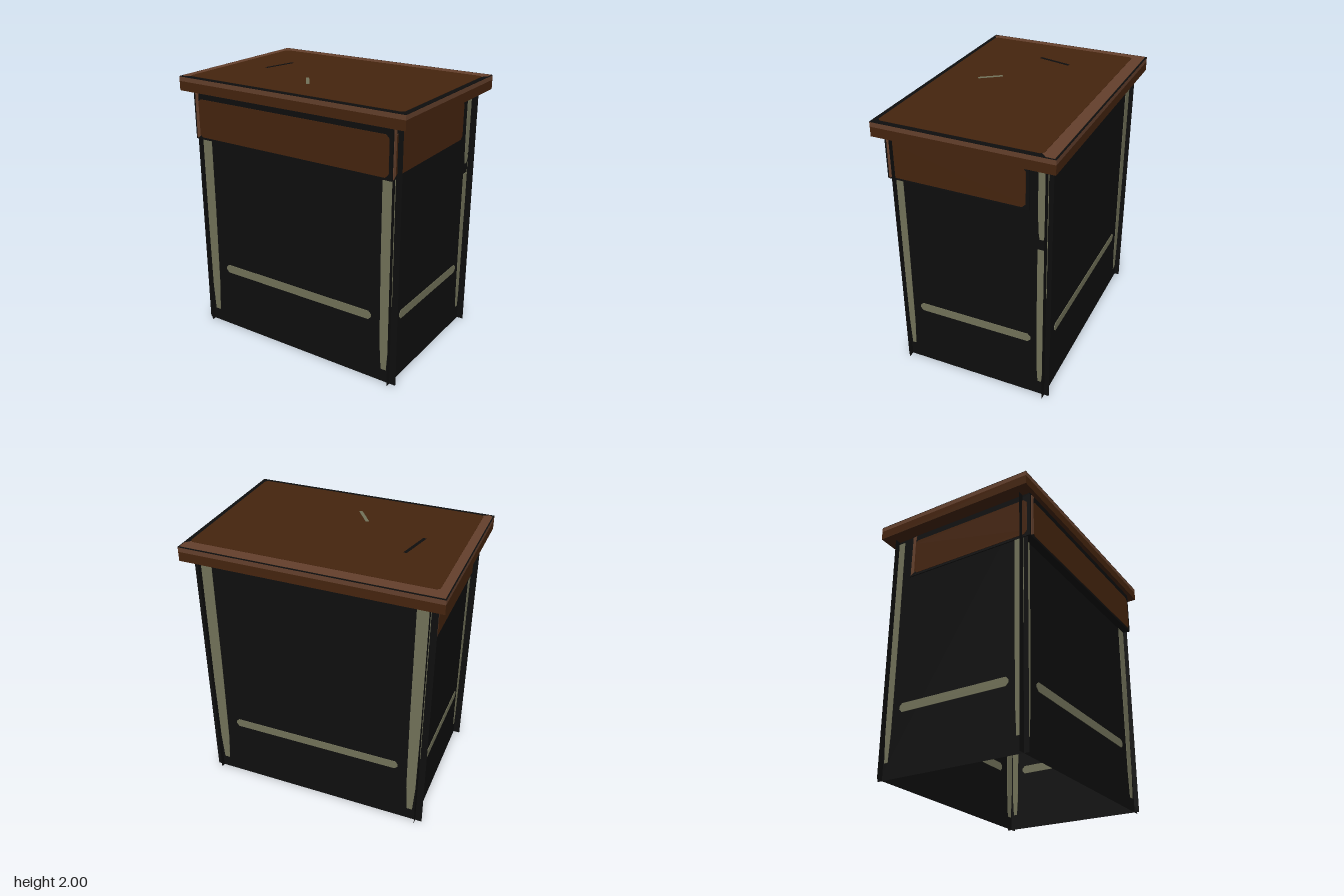
import * as THREE from 'three';

const mat = (name, color, side = THREE.FrontSide) => {
  const m = new THREE.MeshStandardMaterial({ color, side });
  m.name = name;
  return m;
};

export function createModel() {
  const black = mat('black', 0x0e0e0e, THREE.DoubleSide);
  const brown = mat('dark brown wood', 0x45240e);
  const light = mat('light brown wood', 0x64402c);
  const olive = mat('olive grey paint', 0x727259);

  const model = new THREE.Group();
  model.name = 'sideTable';

  const add = (parent, name, geometry, material, x = 0, y = 0, z = 0) => {
    const mesh = new THREE.Mesh(geometry, material);
    mesh.name = name;
    mesh.position.set(x, y, z);
    parent.add(mesh);
    return mesh;
  };
  const box = (parent, name, material, x0, x1, y0, y1, z0, z1) =>
    add(parent, name, new THREE.BoxGeometry(x1 - x0, y1 - y0, z1 - z0), material,
      (x0 + x1) / 2, (y0 + y1) / 2, (z0 + z1) / 2);

  // Thin plate cut from an outline
  const plate = (points, depth) => new THREE.ExtrudeGeometry(
    new THREE.Shape(points.map(([x, y]) => new THREE.Vector2(x, y))),
    { depth, bevelEnabled: false });

  // Rectangle with clipped corners
  const clipped = (x0, x1, y0, y1, c) => [
    [x0 + c, y0], [x1 - c, y0], [x1, y0 + c], [x1, y1 - c],
    [x1 - c, y1], [x0 + c, y1], [x0, y1 - c], [x0, y0 + c]];

  // Painted leg, narrowing towards the foot
  const leg = (x, w, y0, y1) => [
    [x - w * 0.25, y0], [x + w * 0.25, y0], [x + w * 0.42, y0 + (y1 - y0) * 0.12],
    [x + w * 0.5, y0 + (y1 - y0) * 0.5], [x + w * 0.5, y1],
    [x - w * 0.5, y1], [x - w * 0.5, y0 + (y1 - y0) * 0.5], [x - w * 0.42, y0 + (y1 - y0) * 0.12]];

  // Wall sheet with legs and a stretcher showing on both faces
  const T = 0.008;
  function wall(name, halfWidth, legs, legWidth, stretcher) {
    const g = new THREE.Group();
    g.name = name;
    add(g, 'wallSheet', new THREE.PlaneGeometry(halfWidth * 2, 1.89), black, 0, 0.945, 0);
    for (const [x, y0, y1] of legs)
      add(g, 'paintedLeg', plate(leg(x, legWidth, y0, y1), T), olive, 0, 0, -T / 2);
    add(g, 'paintedStretcher', plate(clipped(-stretcher, stretcher, 0.465, 0.53, 0.022), T),
      olive, 0, 0, -T / 2);
    model.add(g);
    return g;
  }

  const longLegs = [[-0.775, 0.1, 1.87], [0.765, 0.1, 1.87]];
  wall('frontWall', 0.865, longLegs, 0.082, 0.655).position.z = 0.55;
  const back = wall('backWall', 0.865, longLegs, 0.082, 0.655);
  back.position.z = -0.55;
  back.rotation.y = Math.PI;

  // The right wall's rear leg is broken by a short gap
  const right = wall('rightWall', 0.587,
    [[-0.525, 0.12, 1.87], [0.512, 0.12, 1.26], [0.512, 1.34, 1.86]], 0.055, 0.44);
  right.position.x = 0.815;
  right.rotation.y = Math.PI / 2;
  const left = wall('leftWall', 0.587,
    [[-0.525, 0.12, 1.87], [0.512, 0.12, 1.87]], 0.055, 0.44);
  left.position.x = -0.815;
  left.rotation.y = -Math.PI / 2;

  // Drawer box with a wooden panel on each visible face
  const drawer = new THREE.Group();
  drawer.name = 'drawer';
  model.add(drawer);
  box(drawer, 'drawerBox', black, -0.823, 0.823, 1.54, 1.888, -0.425, 0.61);

  function drawerFace(name, half) {
    const g = new THREE.Group();
    g.name = name;
    add(g, 'woodPanel', plate(clipped(-half + 0.035, half - 0.02, 1.557, 1.84, 0.025), 0.004), brown);
    add(g, 'edgeHighlight', plate([
      [-half + 0.01, 1.545], [-half + 0.04, 1.565], [-half + 0.04, 1.84],
      [-half + 0.045, 1.88], [-half + 0.015, 1.88]], 0.005), light);
    drawer.add(g);
    return g;
  }
  drawerFace('drawerFront', 0.82).position.z = 0.61;
  for (const s of [1, -1]) {
    const face = drawerFace(s > 0 ? 'drawerRightSide' : 'drawerLeftSide', 0.515);
    face.position.set(s * 0.823, 0, 0.0925);
    face.rotation.y = s * Math.PI / 2;
  }

  // Table top: brown slab, lighter upper band, dark outline
  const top = new THREE.Group();
  top.name = 'tableTop';
  model.add(top);
  box(top, 'topSlab', brown, -0.925, 0.925, 1.89, 1.958, -0.64, 0.64);
  box(top, 'upperBand', light, -0.925, 0.925, 1.958, 1.991, -0.64, 0.64);
  box(top, 'darkOutline', black, -0.925, 0.925, 1.991, 1.994, -0.64, 0.64);

  // Flat layers on the top face, outlines given as x and -z
  const layer = (name, points, y, material) =>
    add(top, name, plate(points, 0.002).rotateX(-Math.PI / 2), material, 0, y, 0);
  layer('wornEdge', [
    [-0.917, 0.628], [-0.917, -0.61], [-0.89, -0.63], [-0.83, -0.59],
    [0.87, -0.58], [0.88, 0.53], [0.917, 0.57], [0.917, 0.628]], 1.994, light);
  layer('topSurface', clipped(-0.857, 0.89, -0.605, 0.543, 0.02), 1.996, brown);

  // Two thin sticks lying on the surface
  const stick = (name, x0, z0, x1, z1, w, material) => {
    const mesh = add(top, name,
      new THREE.BoxGeometry(Math.hypot(x1 - x0, z1 - z0), 0.003, w), material,
      (x0 + x1) / 2, 1.9985, (z0 + z1) / 2);
    mesh.rotation.y = -Math.atan2(z1 - z0, x1 - x0);
  };
  stick('darkStick', -0.57, 0.09, -0.51, -0.16, 0.022, black);
  stick('paleStick', -0.115, 0.195, -0.01, 0.34, 0.024, olive);

  return model;
}
